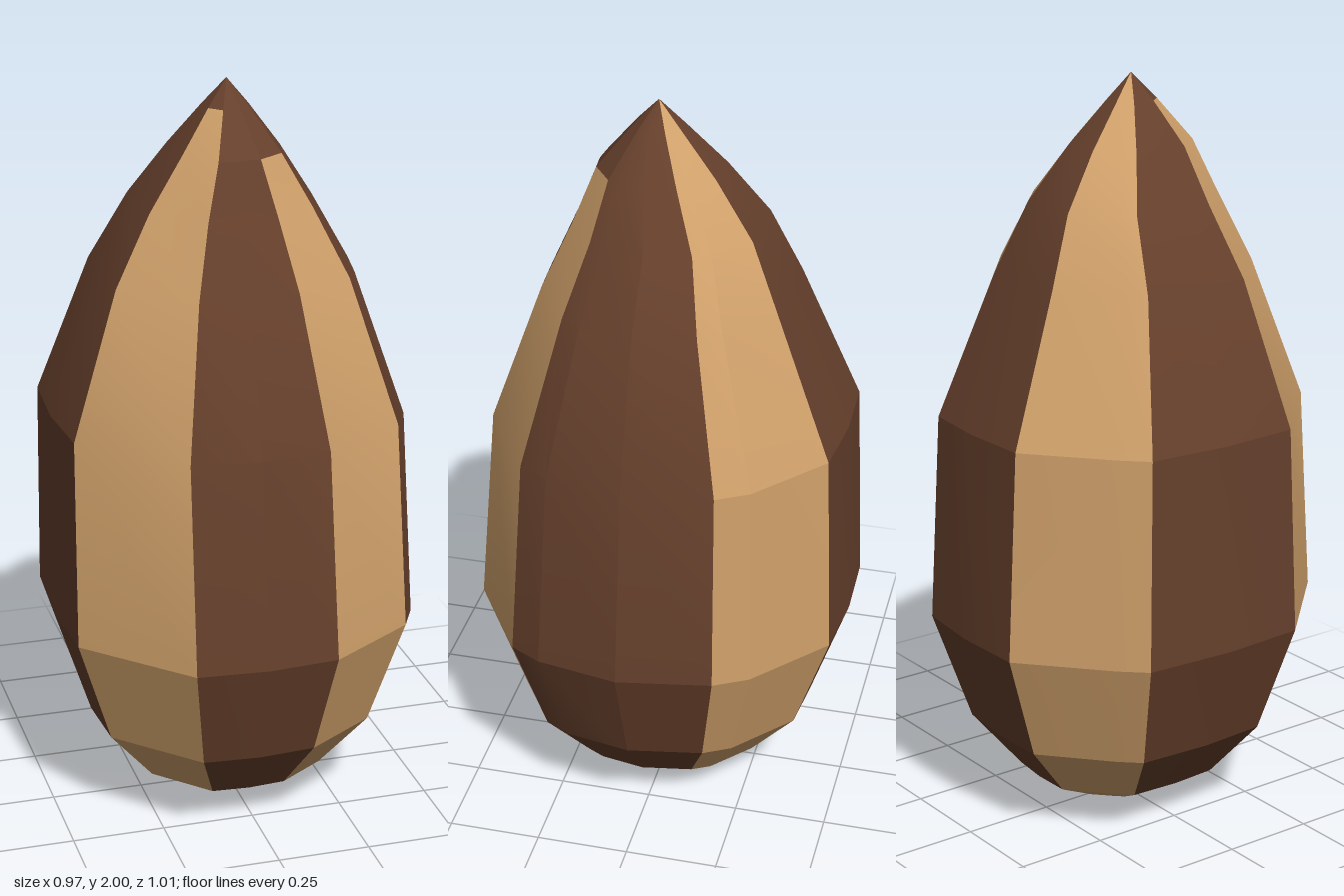
import * as THREE from 'three';
import { toCreasedNormals } from 'three/addons/utils/BufferGeometryUtils.js';

// Widest cross-section, [x, z], running from the left side round past the front
const SECTION = [
  [0.44, -0.22], [0.485, 0.03], [0.445, 0.25], [0.40, 0.335],  // left
  [0.16, 0.49], [-0.03, 0.505], [-0.22, 0.49],                 // front
  [-0.47, 0.23], [-0.485, 0], [-0.47, -0.25],                  // right
  [-0.41, -0.315], [-0.2, -0.5], [0, -0.505], [0.19, -0.485],  // back
  [0.39, -0.31],
];

// Rings from base to tip: y, x scale, z scale, x offset, z offset
const RINGS = [
  [0, 0, 0, 0, 0], [0.025, 0.25, 0.27, 0, 0], [0.1, 0.53, 0.54, 0, 0],
  [0.26, 0.8, 0.8, 0, 0], [0.56, 1, 1, 0, 0], [1.12, 0.965, 0.93, -0.01, -0.01],
  [1.5, 0.69, 0.64, -0.01, 0], [1.68, 0.48, 0.48, -0.01, 0],
  [1.82, 0.29, 0.32, -0.01, 0.025], [1.93, 0.12, 0.13, -0.01, 0.03],
  [2, 0, 0, -0.01, 0.03],
];
const TOP = RINGS.length - 1;

// Each stripe spans section points from..to and rings low..high
const STRIPES = [
  { name: 'leftDarkStripe', from: 0, to: 3 },
  { name: 'frontLeftPaleStripe', from: 3, to: 4, pale: true, high: 8 },
  { name: 'frontDarkStripe', from: 4, to: 6 },
  { name: 'frontRightPaleStripe', from: 6, to: 7, pale: true, high: 9 },
  { name: 'rightDarkStripe', from: 7, to: 9 },
  { name: 'backRightPaleStripe', from: 9, to: 11, pale: true },
  { name: 'backDarkStripe', from: 11, to: 13 },
  { name: 'backLeftPaleStripe', from: 13, to: 15, pale: true },
  // dark ends closing off the pale stripes
  { name: 'frontLeftTip', from: 3, to: 4, low: 8 },
  { name: 'frontRightTip', from: 6, to: 7, low: 9 },
  { name: 'base', from: 0, to: 15, low: 0, high: 1 },
];

function point(ring, i) {
  const [y, sx, sz, ox, oz] = RINGS[ring];
  const [x, z] = SECTION[i % SECTION.length];
  return [x * sx + ox, y, z * sz + oz];
}

function stripeGeometry({ from, to, low = 1, high = TOP }) {
  const pos = [];
  for (let r = low; r < high; r++) {
    for (let i = from; i < to; i++) {
      const a = point(r, i), b = point(r, i + 1);
      const c = point(r + 1, i), d = point(r + 1, i + 1);
      if (r < TOP - 1) pos.push(...a, ...c, ...d);
      if (r > 0) pos.push(...a, ...d, ...b);
      if (r === TOP - 1) continue;
    }
  }
  const geo = new THREE.BufferGeometry();
  geo.setAttribute('position', new THREE.Float32BufferAttribute(pos, 3));
  geo.computeVertexNormals();
  return toCreasedNormals(geo, 0.3);
}

export function createModel() {
  const dark = new THREE.MeshStandardMaterial({ color: 0x66402c });
  dark.name = 'dark brown';
  const pale = new THREE.MeshStandardMaterial({ color: 0xcfa06a });
  pale.name = 'tan';

  const group = new THREE.Group();
  group.name = 'stripedSeed';
  for (const stripe of STRIPES) {
    const mesh = new THREE.Mesh(stripeGeometry(stripe), stripe.pale ? pale : dark);
    mesh.name = stripe.name;
    group.add(mesh);
  }
  return group;
}
